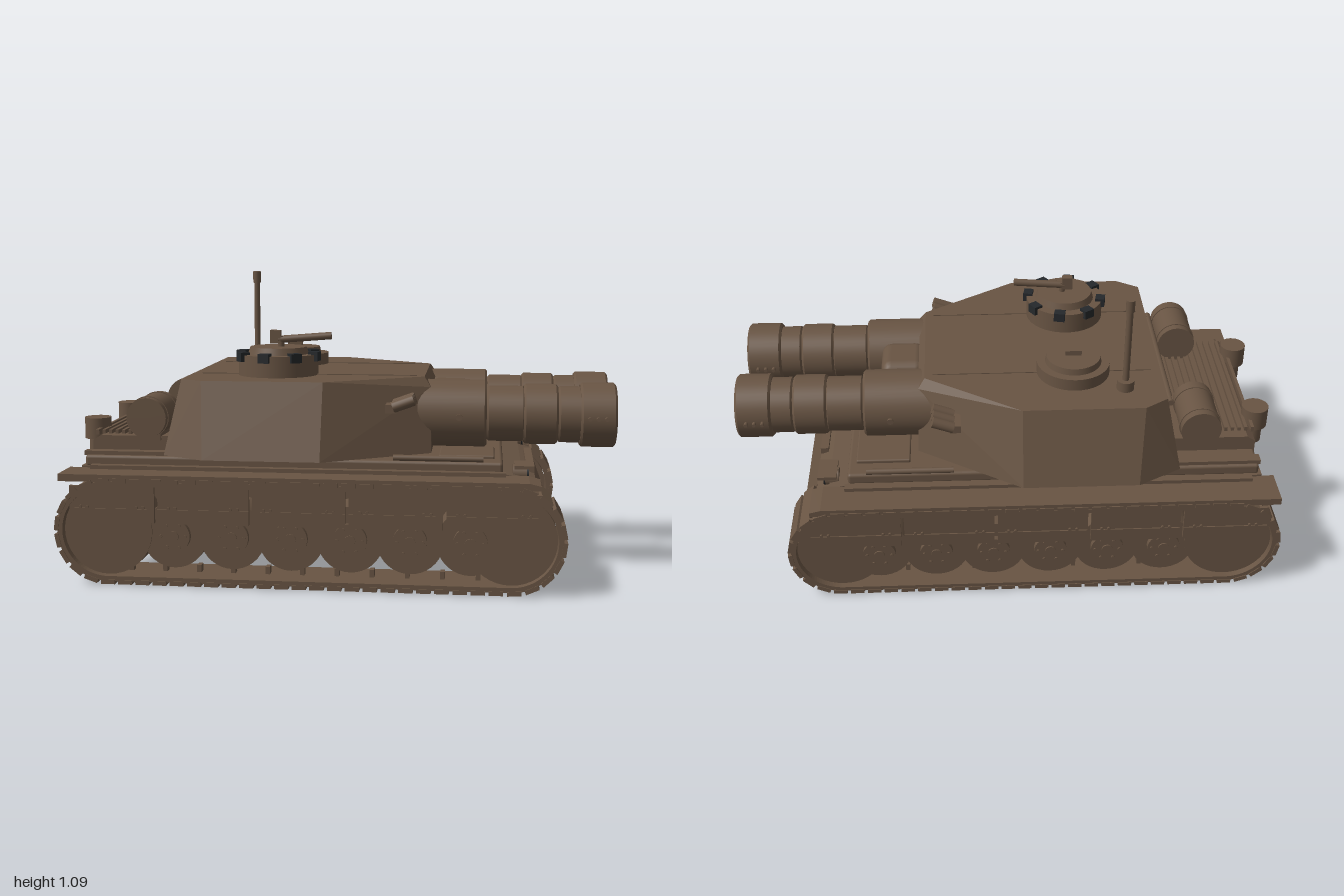
import * as THREE from 'three';
import { ConvexGeometry } from 'three/addons/geometries/ConvexGeometry.js';
import { RoundedBoxGeometry } from 'three/addons/geometries/RoundedBoxGeometry.js';

export function createModel() {
  const root = new THREE.Group();
  const brown = new THREE.MeshStandardMaterial({ color: 0x685443 });
  brown.name = 'brownPaint';
  const black = new THREE.MeshStandardMaterial({ color: 0x25282b });
  black.name = 'blackGlass';

  const add = (name, geo, x = 0, y = 0, z = 0, mat = brown) => {
    const m = new THREE.Mesh(geo, mat);
    m.name = name;
    m.position.set(x, y, z);
    root.add(m);
    return m;
  };
  const box = (w, h, d) => new THREE.BoxGeometry(w, h, d);
  const rbox = (w, h, d, r = 0.01) => new RoundedBoxGeometry(w, h, d, 2, r);
  // cylinder along a chosen axis; r1 is the radius at the far (+) end
  const cyl = (axis, r, len, seg = 32, r1 = r) => {
    const g = new THREE.CylinderGeometry(r1, r, len, seg);
    if (axis === 'x') g.rotateZ(-Math.PI / 2);
    if (axis === 'z') g.rotateX(Math.PI / 2);
    return g;
  };
  // side profile extruded symmetrically across z
  const slab = (pts, width) => {
    const g = new THREE.ExtrudeGeometry(new THREE.Shape(pts.map(p => new THREE.Vector2(...p))),
      { depth: width, bevelEnabled: false });
    return g.translate(0, 0, -width / 2);
  };

  // hull
  add('lowerHull', slab([[-0.86, 0.135], [0.79, 0.135], [0.71, 0.36], [0.6, 0.4], [-0.94, 0.4], [-0.94, 0.28]], 0.78));
  add('upperHull', slab([[-0.94, 0.37], [0.66, 0.37], [0.66, 0.39], [0.59, 0.405], [-0.94, 0.405]], 0.92));
  add('deck', rbox(1.52, 0.045, 0.9, 0.012), -0.17, 0.42);
  add('engineDeck', slab([[-0.93, 0.43], [-0.55, 0.43], [-0.55, 0.5], [-0.9, 0.5], [-0.93, 0.48]], 0.7));
  add('noseStrip', box(0.03, 0.025, 0.41), 0.695, 0.375);
  add('turretRing', cyl('y', 0.42, 0.03, 48), -0.12, 0.445);
  for (let i = 0; i < 11; i++) add('grilleSlat', box(0.012, 0.02, 0.62), -0.925 + i * 0.025, 0.505);

  // track loop: straight runs joined by half circles
  const xa = -0.81, xb = 0.62, yc = 0.193;
  const loop = (r, P) => {
    const p = new P();
    p.moveTo(xa, yc - r);
    p.lineTo(xb, yc - r);
    p.absarc(xb, yc, r, -Math.PI / 2, Math.PI / 2, false);
    p.lineTo(xa, yc + r);
    p.absarc(xa, yc, r, Math.PI / 2, Math.PI * 1.5, false);
    return p;
  };
  const band = loop(0.181, THREE.Shape);
  band.holes.push(loop(0.163, THREE.Path));
  const bandGeo = new THREE.ExtrudeGeometry(band, { depth: 0.2, bevelEnabled: false, curveSegments: 24 });
  const padPath = loop(0.184, THREE.Path);
  const padGeo = box(0.05, 0.016, 0.206);

  for (const s of [1, -1]) {
    const zc = s * 0.497;
    add('trackBand', bandGeo, 0, 0, zc - 0.1);
    for (let i = 0; i < 64; i++) {
      const u = i / 64, p = padPath.getPointAt(u), t = padPath.getTangentAt(u);
      add('trackPad', padGeo, p.x, p.y, zc).rotation.z = Math.atan2(t.y, t.x);
      if (t.x > 0.99 && i % 2) add('guideTooth', box(0.016, 0.035, 0.03), p.x, 0.04, zc);
    }
    // running gear
    for (let i = 0; i < 6; i++) {
      const x = -0.57 + i * 0.21;
      add('roadWheel', cyl('z', 0.118, 0.15, 36), x, 0.18, zc);
      add('wheelHub', cyl('z', 0.06, 0.19, 28), x, 0.18, zc);
      add('hubCap', cyl('z', 0.02, 0.2, 16), x, 0.18, zc);
      for (let k = 0; k < 6; k++) {
        const a = k * Math.PI / 3;
        add('wheelBolt', cyl('z', 0.006, 0.2, 8), x + 0.045 * Math.cos(a), 0.18 + 0.045 * Math.sin(a), zc);
      }
    }
    for (const x of [xa, xb]) add('endWheel', cyl('z', 0.16, 0.16, 40), x, yc, zc);
    // skirts, fender and bolts
    for (let i = 0; i < 5; i++) {
      const x0 = [-0.95, -0.63, -0.29, 0.05, 0.39][i], x1 = [-0.63, -0.29, 0.05, 0.39, 0.73][i];
      const x = (x0 + x1) / 2, w = x1 - x0 - 0.012;
      add('skirtPanel', box(w, 0.13, 0.012), x, 0.292, s * 0.588);
      add('skirtLip', box(w, 0.05, 0.006), x, 0.252, s * 0.595);
      for (const d of [-1, 1]) for (const e of [0, 0.025])
        add('skirtBolt', cyl('z', 0.006, 0.008, 8), x + d * (w / 2 - 0.04 - e), 0.282, s * 0.597);
    }
    add('fender', slab([[-0.985, 0.372], [0.72, 0.372], [0.72, 0.388], [0.68, 0.398], [-0.985, 0.398]], 0.14), 0, 0, s * 0.526);
    add('fenderEdge', box(1.5, 0.014, 0.03), -0.15, 0.405, s * 0.475);

    // headlight with hood
    add('headlightBody', cyl('x', 0.034, 0.05, 20), 0.65, 0.395, s * 0.39);
    add('headlightLens', cyl('x', 0.031, 0.008, 20), 0.678, 0.395, s * 0.39, black);
    add('headlightHood', box(0.07, 0.012, 0.11), 0.665, 0.425, s * 0.39);
    // deck fittings
    add('towBar', cyl('x', 0.011, 0.32, 12), 0.36, 0.453, s * 0.445);
    add('deckPlate', rbox(0.2, 0.02, 0.2, 0.006), 0.46, 0.445, s * 0.28);
    add('stowageStrip', box(0.55, 0.016, 0.04), -0.66, 0.448, s * 0.42);

    // rear drums and exhausts
    add('rearDrum', cyl('z', 0.074, 0.215, 32), -0.71, 0.575, s * 0.3);
    for (const d of [-0.07, 0.07]) add('drumStrap', cyl('z', 0.077, 0.015, 32), -0.71, 0.575, s * 0.3 + d);
    add('drumCradle', box(0.08, 0.04, 0.12), -0.71, 0.505, s * 0.3);
    add('exhaustPipe', cyl('y', 0.034, 0.09, 24), -0.95, 0.445, s * 0.22);
    add('exhaustCap', cyl('y', 0.05, 0.08, 28), -0.95, 0.51, s * 0.22);

    // main gun: [start, end, radius]
    const zg = s * 0.185;
    for (const [a, b, r, n] of [[0.25, 0.53, 0.125, 'gunMantlet'], [0.53, 0.67, 0.103, 'barrelRear'],
      [0.665, 0.79, 0.112, 'barrelSleeve'], [0.79, 0.88, 0.104, 'barrelFront'], [0.87, 1, 0.119, 'muzzle']]) {
      const c = 0.008, pts = [[0, a], [r - c, a], [r, a + c], [r, b - c], [r - c, b], [0, b]];
      // each step is its own band so that edges stay crisp
      for (let i = 0; i < 5; i++) {
        const g = new THREE.LatheGeometry([pts[i], pts[i + 1]].map(p => new THREE.Vector2(...p)), 40);
        add(n, g.rotateZ(-Math.PI / 2), 0, 0.582, zg);
      }
    }
    for (const x of [0.9, 0.93, 0.96]) add('muzzlePin', cyl('z', 0.007, 0.27, 10), x, 0.582, zg);
    add('mantletPin', cyl('z', 0.012, 0.265, 12), 0.43, 0.582, zg);

    // smoke launchers
    for (let i = 0; i < 3; i++) {
      const m = add('smokeTube', cyl('x', 0.02, 0.08, 16), 0.235, 0.645, s * (0.347 + i * 0.042));
      m.rotation.z = 0.35;
    }
    add('smokeBracket', box(0.04, 0.03, 0.12), 0.19, 0.625, s * 0.375);
    add('roofSeam', box(0.81, 0.006, 0.01), -0.135, 0.722, s * 0.215);
  }

  // turret: faceted hull tapering from base to roof
  const rings = [
    [0.45, [[-0.63, 0.47], [-0.47, 0.56], [-0.05, 0.56], [0.33, 0.32]]],
    [0.685, [[0.325, 0.255]]],
    [0.722, [[-0.575, 0.41], [-0.49, 0.465], [-0.05, 0.465], [0.3, 0.24]]],
  ];
  const pts = [];
  for (const [y, ring] of rings) for (const [x, z] of ring)
    pts.push(new THREE.Vector3(x, y, z), new THREE.Vector3(x, y, -z));
  add('turret', new ConvexGeometry(pts));
  add('mantletBridge', rbox(0.17, 0.22, 0.19, 0.04), 0.385, 0.575);
  add('rearRail', cyl('z', 0.012, 0.64, 12), -0.605, 0.64);
  for (const z of [-0.3, 0.3]) add('railPost', box(0.05, 0.02, 0.02), -0.59, 0.64, z);

  // commander cupola with periscopes and machine gun
  const cx = -0.25, cz = 0.21;
  add('cupola', cyl('y', 0.149, 0.09, 40), cx, 0.755, cz);
  add('cupolaHatch', cyl('y', 0.115, 0.03, 40, 0.105), cx, 0.811, cz);
  for (let i = 0; i < 8; i++) {
    const a = i * Math.PI / 4 + 0.2;
    add('periscope', box(0.036, 0.034, 0.042), cx + 0.143 * Math.cos(a), 0.793, cz + 0.143 * Math.sin(a), black).rotation.y = -a;
  }
  add('gunPost', cyl('y', 0.012, 0.05, 12), -0.24, 0.84, cz);
  add('gunReceiver', box(0.04, 0.05, 0.026), -0.26, 0.862, cz);
  add('machineGun', cyl('x', 0.014, 0.2, 14), -0.15, 0.86, cz).rotation.z = 0.08;

  // loader hatch
  add('loaderRing', cyl('y', 0.135, 0.05, 40), cx, 0.742, -cz);
  add('loaderHatch', cyl('y', 0.105, 0.03, 40, 0.1), cx, 0.776, -cz);
  add('hatchHandle', box(0.06, 0.02, 0.012), cx, 0.8, -cz);

  // antenna
  add('antennaBase', cyl('y', 0.032, 0.04, 20), -0.43, 0.74, -0.335);
  add('antennaMast', cyl('y', 0.012, 0.33, 14), -0.43, 0.89, -0.335);
  add('antennaTip', cyl('y', 0.016, 0.046, 14), -0.43, 1.067, -0.335);

  return root;
}
